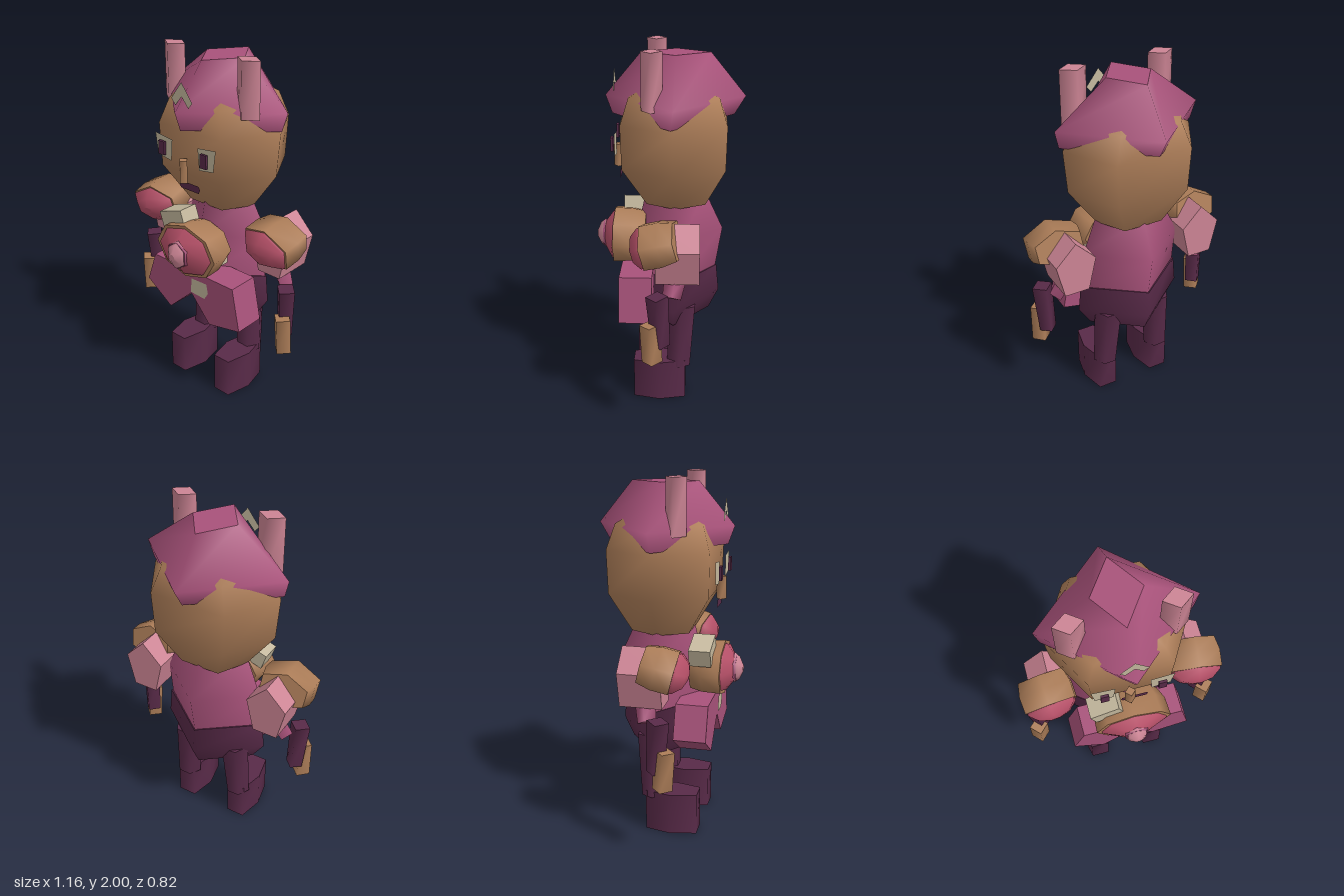
import * as THREE from 'three';

const mat = (name, color, side = THREE.FrontSide) => {
  const m = new THREE.MeshStandardMaterial({ color, side });
  m.name = name;
  return m;
};
const magenta = mat('magenta', 0xa8527a);
const brown = mat('brown', 0xac7d58);
const plum = mat('dark plum', 0x582a48);
const pink = mat('pink', 0xcc8494);
const red = mat('rose red', 0xb65068);
const beige = mat('beige', 0xc6ba9f, THREE.DoubleSide);
const plumPlate = mat('plum plate', 0x582a48, THREE.DoubleSide);

// Closed prism through rings [y, rx, rz, cz], smooth sides and flat caps
function loft(rings, n, phase = 0) {
  const pos = [], idx = [];
  const point = ([y, rx, rz, cz = 0], j) => {
    const a = phase + (j / n) * Math.PI * 2;
    pos.push(rx * Math.sin(a), y, cz + rz * Math.cos(a));
  };
  rings.forEach((r) => { for (let j = 0; j < n; j++) point(r, j); });
  for (let i = 0; i < rings.length - 1; i++) {
    for (let j = 0; j < n; j++) {
      const a = i * n + j, b = i * n + (j + 1) % n;
      idx.push(a, b, b + n, a, b + n, a + n);
    }
  }
  [rings[0], rings[rings.length - 1]].forEach((r, top) => {
    const s = pos.length / 3;
    for (let j = 0; j < n; j++) point(r, j);
    for (let j = 1; j < n - 1; j++) {
      if (top) idx.push(s, s + j, s + j + 1);
      else idx.push(s, s + j + 1, s + j);
    }
  });
  const g = new THREE.BufferGeometry();
  g.setAttribute('position', new THREE.Float32BufferAttribute(pos, 3));
  g.setIndex(idx);
  g.computeVertexNormals();
  return g;
}

const HEX = Math.PI / 6; // flat sides to the front and back

// Scale only the front and back corners sideways
function widenFlats(g, k) {
  const p = g.attributes.position;
  for (let i = 0; i < p.count; i++) {
    if (Math.abs(p.getZ(i) + 0.03) > 0.05) p.setX(i, p.getX(i) * k);
  }
  g.computeVertexNormals();
  return g;
}

export function createModel() {
  const model = new THREE.Group();
  const add = (name, geo, material, x = 0, y = 0, z = 0, parent = model) => {
    const m = new THREE.Mesh(geo, material);
    m.name = name;
    m.position.set(x, y, z);
    parent.add(m);
    return m;
  };
  const shape = (pts) => new THREE.Shape(pts.map(([x, y]) => new THREE.Vector2(x, y)));
  const plate = (name, pts, material, z) =>
    add(name, new THREE.ShapeGeometry(shape(pts)), material, 0, 0, z);
  // Tapered limb between two points
  const limb = (name, from, to, r0, r1, sides, phase, material) => {
    const a = new THREE.Vector3(...from), d = new THREE.Vector3(...to).sub(a);
    const m = add(name, loft([[0, r0, r0], [d.length(), r1, r1]], sides, phase), material, ...from);
    m.quaternion.setFromUnitVectors(new THREE.Vector3(0, 1, 0), d.normalize());
  };
  // Loft turned to point forward
  const forward = (rings, n, phase) => loft(rings, n, phase).rotateX(Math.PI / 2);

  // Head and helmet
  add('head', widenFlats(loft([
    [1.15, 0.2, 0.185, -0.04], [1.37, 0.36, 0.318, -0.03], [1.61, 0.38, 0.323, -0.03],
    [1.745, 0.31, 0.275, -0.03], [1.82, 0.16, 0.14, -0.03]], 6, HEX), 1.14), brown);
  add('helmet', loft([
    [1.63, 0.395, 0.33, -0.02], [1.73, 0.42, 0.377, -0.032],
    [1.96, 0.13, 0.185, -0.035]], 4), magenta);
  plate('helmetChevron', [[0, 1.88], [-0.073, 1.785], [-0.045, 1.752], [0, 1.805],
    [0.045, 1.752], [0.073, 1.785]], beige, 0.295);

  // Face
  for (const s of [-1, 1]) {
    plate('eye', [[s * 0.215, 1.565], [s * 0.09, 1.55], [s * 0.1, 1.43], [s * 0.198, 1.445]], beige, 0.28);
    add('pupil', new THREE.BoxGeometry(0.042, 0.075, 0.014), plum, s * 0.149, 1.498, 0.298);
  }
  add('nose', loft([[1.333, 0.028, 0.027], [1.458, 0.028, 0.027]], 4), brown, -0.013, 0, 0.28);
  plate('mouth', [[-0.06, 1.3], [-0.045, 1.287], [0.08, 1.287], [0.09, 1.31],
    [0.08, 1.328], [-0.05, 1.328]], plumPlate, 0.265);

  // Torso and hips
  add('torso', loft([
    [0.72, 0.3, 0.23, -0.03], [0.975, 0.3, 0.24, -0.06], [1.19, 0.2, 0.165, -0.035]], 4), magenta);
  add('hips', loft([
    [0.475, 0.25, 0.2, -0.03], [0.59, 0.325, 0.25, -0.035], [0.745, 0.31, 0.235, -0.035]], 4), plum);

  // Skirt armour
  const panels = [
    [[0, 0.795], [-0.275, 0.795], [-0.34, 0.61], [-0.16, 0.49], [0.01, 0.65]],
    [[0, 0.795], [0.01, 0.65], [0.145, 0.497], [0.365, 0.545], [0.315, 0.795]]];
  panels.forEach((p) => add('skirtPanel',
    new THREE.ExtrudeGeometry(shape(p), { depth: 0.18, bevelEnabled: false }), magenta, 0, 0, 0.083));
  plate('beltBadge', [[0.02, 0.75], [0.13, 0.755], [0.142, 0.7], [0.115, 0.655],
    [0.01, 0.66]], beige, 0.268);

  // Chest ornament
  const chest = new THREE.Group();
  chest.name = 'chestOrnament';
  chest.position.set(0.01, 0.935, 0);
  model.add(chest);
  add('ornamentRim', forward([[0.13, 0.18, 0.135], [0.2, 0.21, 0.15], [0.305, 0.215, 0.155]], 8, 0),
    brown, 0, 0, 0, chest);
  add('ornamentShield', forward([[0.29, 0.195, 0.142], [0.315, 0.185, 0.135], [0.36, 0.075, 0.075]], 8, 0),
    red, 0, 0, 0, chest);
  add('ornamentBoss', forward([[0.335, 0.085, 0.088], [0.372, 0.07, 0.08]], 6, 0), magenta, 0, 0, 0, chest);
  add('ornamentGem', forward([[0.36, 0.068, 0.088], [0.388, 0.055, 0.066], [0.408, 0.02, 0.02]], 6, 0),
    pink, 0, 0, 0, chest);

  // Chest blocks
  add('chestBlock', new THREE.BoxGeometry(0.17, 0.1, 0.12), beige, -0.13, 1.065, 0.2).rotation.z = 0.33;
  add('chestStud', new THREE.BoxGeometry(0.06, 0.08, 0.05), beige, 0.145, 0.9, 0.168);

  for (const s of [-1, 1]) {
    // Horn
    add('horn', loft([[1.7, 0.075, 0.055], [2, 0.075, 0.055]], 4), pink, s * 0.255, 0, 0.08);

    // Shoulder guard, tipped slightly down
    const guard = new THREE.Group();
    guard.name = 'shoulderGuard';
    guard.position.set(s * 0.425, 1.045, 0.02);
    guard.rotation.set(0.25, s * -0.1, s * -0.1);
    model.add(guard);
    add('guardRim', forward([[-0.08, 0.15, 0.1], [0, 0.17, 0.12], [0.095, 0.168, 0.12]], 6, 0),
      brown, 0, 0, 0, guard);
    add('guardFace', forward([[0.085, 0.155, 0.112], [0.11, 0.155, 0.11], [0.155, 0.1, 0.07],
      [0.172, 0.03, 0.02]], 6, 0), red, 0, 0, 0, guard);

    // Arm
    const upperArm = new THREE.CylinderGeometry(1, 1, 0.23, 5).toNonIndexed()
      .rotateX(-Math.PI / 2).scale(0.123, 0.172, 1);
    upperArm.computeVertexNormals();
    add('upperArm', upperArm, pink, s * 0.395, 0.97, -0.06);
    limb('elbow', [s * 0.455, 0.745, -0.03], [s * 0.37, 0.9, -0.06], 0.05, 0.065, 4, 0, magenta);
    limb('forearm', [s * 0.497, 0.49, 0.025], [s * 0.51, 0.78, 0.045], 0.05, 0.06, 4, 0, plum);
    limb('hand', [s * 0.525, 0.405, 0.07], [s * 0.52, 0.62, 0.082], 0.055, 0.055, 4, 0, brown);

    // Leg and boot
    limb('leg', [s * 0.175, 0.2, -0.06], [s * 0.155, 0.57, -0.075], 0.075, 0.088, 6, HEX, plum);
    add('boot', widenFlats(loft([[0, 0.087, 0.17], [0.238, 0.087, 0.17]], 6, HEX), 1.25),
      plum, s * 0.176, 0, 0.048);
  }
  return model;
}
